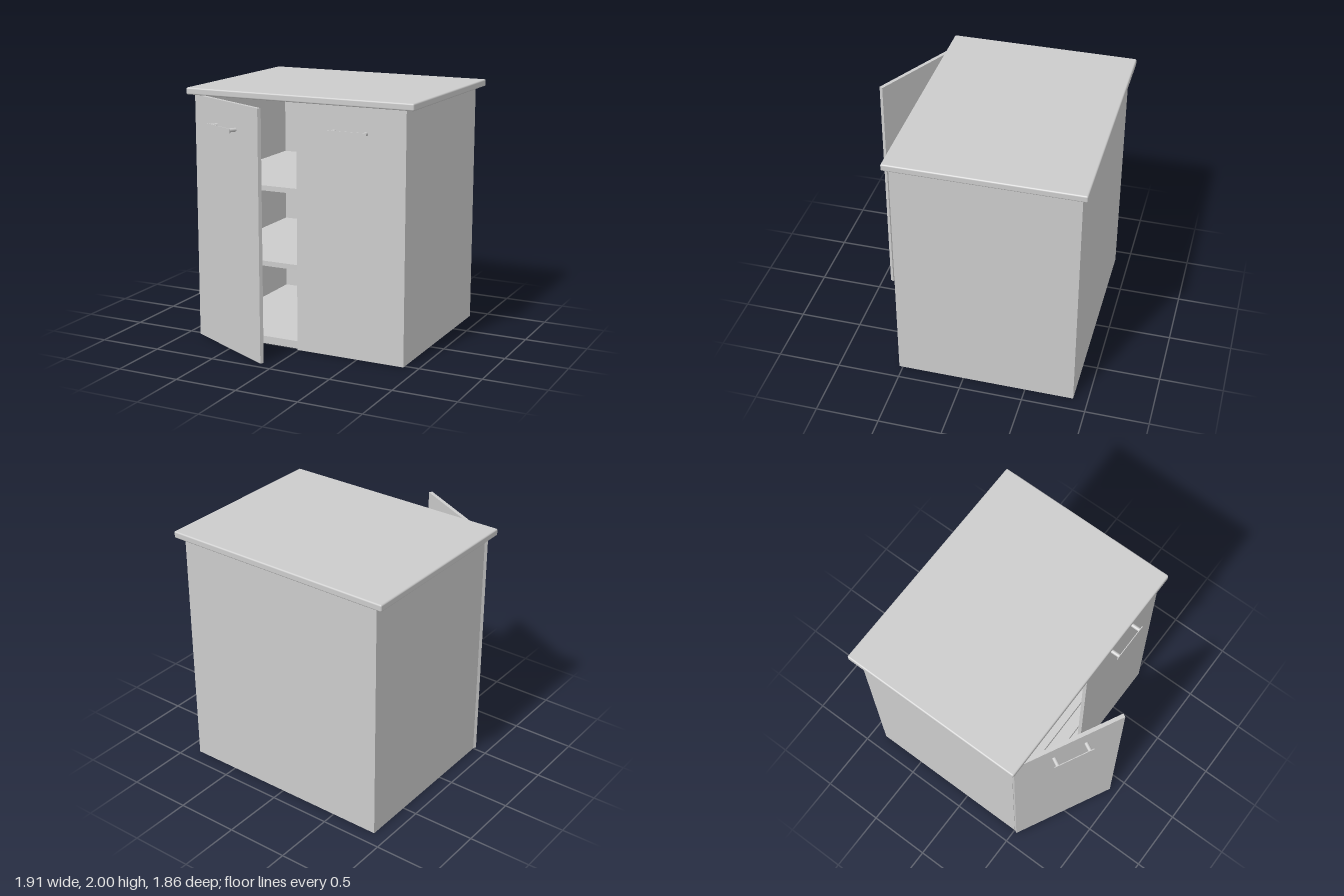
import * as THREE from 'three';
import { RoundedBoxGeometry } from 'three/addons/geometries/RoundedBoxGeometry.js';

const grey = new THREE.MeshStandardMaterial({ color: 0xcccccc });

function add(parent, name, geometry, x = 0, y = 0, z = 0) {
  const mesh = new THREE.Mesh(geometry, grey);
  mesh.name = name;
  mesh.position.set(x, y, z);
  parent.add(mesh);
  return mesh;
}

// Box given by its minimum and maximum corners
function addBox(parent, name, [x0, y0, z0], [x1, y1, z1]) {
  return add(parent, name, new THREE.BoxGeometry(x1 - x0, y1 - y0, z1 - z0),
    (x0 + x1) / 2, (y0 + y1) / 2, (z0 + z1) / 2);
}

const W = 0.885;      // half width of the carcass
const H = 1.945;      // carcass height
const BACK = -0.885;
const FRONT = 0.5;    // carcass front, where the doors sit
const T = 0.04;       // panel thickness
const DOOR = 0.03;    // door thickness

// Door with a bar handle; the group's origin is the hinge, side = +1 extends toward +x
function makeDoor(name, side, width) {
  const door = new THREE.Group();
  door.name = name;
  add(door, 'doorPanel', new THREE.BoxGeometry(width, H, DOOR), side * width / 2, H / 2, DOOR / 2);

  const handle = new THREE.Group();
  handle.name = 'handle';
  handle.position.set(side * 0.448, 1.748, DOOR);
  add(handle, 'handleBar', new THREE.BoxGeometry(0.32, 0.035, 0.006), 0, 0, 0.07);
  for (const s of [-1, 1]) {
    const post = add(handle, 'handlePost', new THREE.CylinderGeometry(0.015, 0.015, 0.07, 24), s * 0.13, 0, 0.035);
    post.rotation.x = Math.PI / 2;
  }
  door.add(handle);
  return door;
}

export function createModel() {
  const cabinet = new THREE.Group();
  cabinet.name = 'cabinet';

  // Worktop with softly rounded edges
  add(cabinet, 'worktop', new RoundedBoxGeometry(1.91, 0.055, 1.495, 3, 0.012), 0, 1.9725, -0.1825);

  // Carcass panels
  for (const s of [-1, 1]) {
    add(cabinet, 'sidePanel', new THREE.BoxGeometry(T, H, FRONT - BACK),
      s * (W - T / 2), H / 2, (FRONT + BACK) / 2);
  }
  addBox(cabinet, 'backPanel', [-W + T, 0, BACK], [W - T, H, BACK + T]);
  addBox(cabinet, 'bottomPanel', [-W + T, 0, BACK + T], [W - T, 0.06, FRONT]);

  // Shelves
  for (const top of [0.675, 1.275]) {
    addBox(cabinet, 'shelf', [-W + T, top - T, BACK + T], [W - T, top, FRONT]);
  }

  // Closed door, and the other one swung open on its hinge
  const closedDoor = makeDoor('closedDoor', -1, 0.895);
  closedDoor.position.set(W, 0, FRONT);
  const openDoor = makeDoor('openDoor', 1, 0.88);
  openDoor.position.set(-0.882, 0, FRONT);
  openDoor.rotation.y = -THREE.MathUtils.degToRad(27.5);
  cabinet.add(closedDoor, openDoor);

  return cabinet;
}
